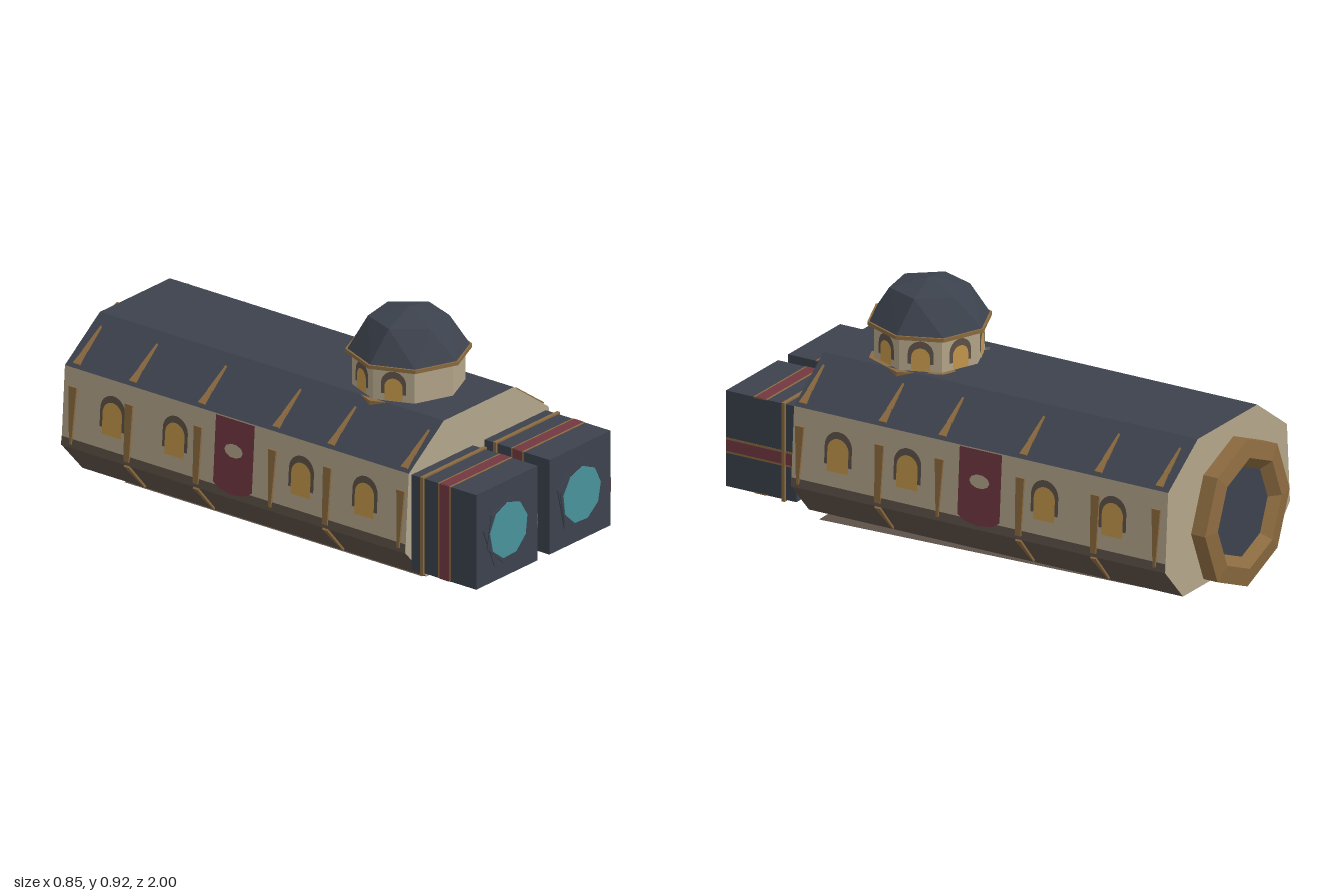
import * as THREE from 'three';
import { ConvexGeometry } from 'three/addons/geometries/ConvexGeometry.js';

const mat = (name, color) => {
  const m = new THREE.MeshStandardMaterial({ color });
  m.name = name;
  return m;
};

export function createModel() {
  const slate = mat('slate', 0x3c424d);
  const stone = mat('stone', 0xb3a58a);
  const bronze = mat('bronze', 0x8c6b40);
  const amber = mat('amber', 0xc4974a);
  const crimson = mat('crimson', 0x733842);
  const brown = mat('brown', 0x5e5248);
  const teal = mat('teal', 0x4a939b);
  const keelBrown = mat('keelBrown', 0x5e5248);
  keelBrown.side = THREE.DoubleSide;

  const model = new THREE.Group();
  model.name = 'hallShip';

  const add = (parent, name, geo, material, x = 0, y = 0, z = 0) => {
    const mesh = new THREE.Mesh(geo, material);
    mesh.name = name;
    mesh.position.set(x, y, z);
    parent.add(mesh);
    return mesh;
  };
  const flat = (geo) => {
    const g = geo.index ? geo.toNonIndexed() : geo;
    g.computeVertexNormals();
    return g;
  };
  const polygon = (pts) => new THREE.ShapeGeometry(new THREE.Shape(pts.map(([x, y]) => new THREE.Vector2(x, y))));
  const arch = (hw, y0, y1) => {
    const s = new THREE.Shape();
    s.moveTo(-hw, y0);
    s.lineTo(hw, y0);
    s.lineTo(hw, y1 - hw);
    s.absarc(0, y1 - hw, hw, 0, Math.PI, false);
    s.lineTo(-hw, y0);
    return new THREE.ShapeGeometry(s, 8);
  };
  const archedWindow = (parent, x, hw, y0, y1) => {
    add(parent, 'windowSurround', arch(hw + 0.013, y0 + 0.025, y1 + 0.026), brown, x, 0, 0.002);
    add(parent, 'windowPane', arch(hw, y0, y1), amber, x, 0, 0.004);
  };
  // Tapered rib standing slightly proud of its panel
  const rib = (parent, name, x, y0, w0, y1, w1) => {
    const s = new THREE.Shape();
    s.moveTo(-w0 / 2, y0);
    s.lineTo(w0 / 2, y0);
    s.lineTo(w1 / 2, y1);
    s.lineTo(-w1 / 2, y1);
    add(parent, name, new THREE.ExtrudeGeometry(s, { depth: 0.008, bevelEnabled: false }), bronze, x);
  };

  // Hull section: keel edge, chine, eaves, roof edge
  const zBack = -0.905, zFront = 0.69;
  const length = zFront - zBack, mid = (zFront + zBack) / 2;
  const section = [[0.3, 0.045], [0.42, 0.175], [0.4, 0.48], [0.2, 0.622]];
  const outline = [...section, ...section.map(([x, y]) => [-x, y]).reverse()];
  add(model, 'frontWall', polygon(outline), stone, 0, 0, zFront);
  add(model, 'backWall', polygon(outline), stone, 0, 0, zBack).rotation.y = Math.PI;
  add(model, 'roofTop', new THREE.PlaneGeometry(0.4, length), slate, 0, 0.622, mid).rotation.x = -Math.PI / 2;
  add(model, 'hullBottom', new THREE.PlaneGeometry(0.6, length), brown, 0, 0.045, mid).rotation.x = Math.PI / 2;

  // Sloped side panel with its own frame: y runs up the slope, z points outward
  const panel = (name, s, a, b, material) => {
    const g = new THREE.Group();
    g.name = name;
    g.position.set(s * a[0], a[1], 0);
    g.rotation.order = 'YXZ';
    g.rotation.set(-Math.atan2(a[0] - b[0], b[1] - a[1]), s * Math.PI / 2, 0);
    const h = Math.hypot(a[0] - b[0], b[1] - a[1]);
    add(g, name + 'Surface', new THREE.PlaneGeometry(length, h), material, -s * mid, h / 2);
    model.add(g);
    return g;
  };

  const ribs = [[0.66, 0], [0.32, 1], [0.065, 0], [-0.28, 1], [-0.6, 1], [-0.86, 0]];
  for (const s of [1, -1]) {
    const skirt = panel('skirt', s, section[0], section[1], brown);
    const wall = panel('sideWall', s, section[1], section[2], stone);
    const roof = panel('roofSlope', s, section[2], section[3], slate);
    add(wall, 'wallBase', new THREE.PlaneGeometry(length, 0.035), brown, -s * mid, 0.0175, 0.002);

    // Wall pilasters, lower spikes and roof ribs
    for (const [z, long] of ribs) {
      const x = -s * z;
      rib(wall, 'pilaster', x, 0.015, long ? 0.024 : 0.01, 0.235, 0.036);
      if (long) rib(skirt, 'pilasterSpike', x, 0.02, 0.005, 0.177, 0.024);
      rib(roof, 'roofRibFoot', x, 0.015, 0.03, 0.075, 0.016);
      rib(roof, 'roofRib', x, 0.075, 0.02, 0.19, 0.004);
    }
    for (const z of [0.495, 0.2, -0.385, -0.675]) archedWindow(wall, -s * z, 0.045, 0.092, 0.22);

    // Hanging banner with a plain pale oval
    const cloth = polygon([[-0.09, 0.303], [-0.09, 0.045], [-0.06, 0.025], [0, 0.015], [0.06, 0.025], [0.09, 0.045], [0.09, 0.303]]);
    add(wall, 'banner', cloth, crimson, s * 0.11, 0, 0.005);
    add(wall, 'bannerOval', new THREE.CircleGeometry(0.043, 10), stone, s * 0.11, 0.185, 0.008).scale.y = 0.62;
  }

  // Loose plate below the keel
  const keel = new THREE.PlaneGeometry(1, 1);
  [[-0.275, 0.027, -0.73], [0.295, 0.042, -0.73], [-0.275, 0.027, 0.65], [0.295, 0.013, 0.65]]
    .forEach((p, i) => keel.attributes.position.setXYZ(i, ...p));
  add(model, 'keelPlate', flat(keel), keelBrown);

  // Octagonal roof turret
  const turret = new THREE.Group();
  turret.name = 'turret';
  turret.position.z = 0.365;
  model.add(turret);
  const octagon = (r, h) => flat(new THREE.CylinderGeometry(r, r, h, 8));
  add(turret, 'turretBase', octagon(0.225, 0.022), bronze, 0, 0.611);
  add(turret, 'turretDrum', octagon(0.205, 0.15), stone, 0, 0.675);
  add(turret, 'turretCornice', octagon(0.23, 0.014), bronze, 0, 0.755);
  for (let k = 1; k < 7; k++) {
    const face = new THREE.Group();
    face.name = 'turretWindow';
    const a = Math.PI / 8 + k * Math.PI / 4;
    face.position.set(Math.sin(a) * 0.1894, 0, Math.cos(a) * 0.1894);
    face.rotation.y = a;
    turret.add(face);
    archedWindow(face, 0, 0.034, 0.625, 0.712);
  }
  const ring = (n, r, y, phase) => Array.from({ length: n }, (_, i) => {
    const a = phase + i * 2 * Math.PI / n;
    return new THREE.Vector3(r * Math.sin(a), y, r * Math.cos(a));
  });
  const domePoints = [...ring(8, 0.222, 0.762, 0), ...ring(6, 0.147, 0.882, -0.35), new THREE.Vector3(0, 0.917, 0)];
  add(turret, 'dome', new ConvexGeometry(domePoints), slate);

  // Twin front pods
  for (const s of [1, -1]) {
    const pod = new THREE.Group();
    pod.name = 'frontPod';
    pod.position.set(s * 0.209, 0.286, 0);
    model.add(pod);
    const w = 0.35, h = 0.37, z0 = 0.69, z1 = 0.99, zc = (z0 + z1) / 2, d = z1 - z0;
    add(pod, 'podBody', new THREE.BoxGeometry(w, h, d), slate, 0, 0, zc);
    add(pod, 'podCollar', new THREE.BoxGeometry(w + 0.016, h + 0.012, 0.014), bronze, 0, 0, 0.742);
    // Cross bands on top, bottom and -x side; a lengthwise band on the +x side
    for (const [name, t, m, o] of [['bandEdge', 0.06, bronze, 0.001], ['band', 0.044, crimson, 0.002]]) {
      for (const v of [1, -1]) add(pod, name, new THREE.BoxGeometry(w, 0.004, t), m, 0, v * (h / 2 - 0.002 + o), 0.843);
      add(pod, name, new THREE.BoxGeometry(0.004, h, t), m, -(w / 2 - 0.002 + o), 0, 0.843);
      add(pod, name, new THREE.BoxGeometry(0.004, t, d), m, w / 2 - 0.002 + o, -0.026, zc);
    }
    const disc = (name, r, n, depth, m, z, turn) => {
      const g = flat(new THREE.CylinderGeometry(r, r, depth, n).rotateX(Math.PI / 2));
      add(pod, name, g, m, 0, -0.003, z).rotation.z = turn;
    };
    disc('lensFrameOuter', 0.142, 5, 0.004, slate, 0.992, s * 0.55);
    disc('lensFrameInner', 0.128, 6, 0.004, slate, 0.995, s * 0.2);
    disc('lens', 0.108, 9, 0.004, teal, 0.998, s * 0.3);
  }

  // Octagonal ring and dark disc at the stern
  const profile = [[0.2, 0.925], [0.175, 0.965], [0.215, 1], [0.285, 0.99], [0.285, 0.93], [0.2, 0.925]]
    .map(([r, y]) => new THREE.Vector2(r, y));
  const sternRing = flat(new THREE.LatheGeometry(profile, 8).rotateX(-Math.PI / 2));
  const stern = new THREE.Group();
  stern.name = 'stern';
  stern.position.y = 0.287;
  model.add(stern);
  // The profile runs clockwise, so reverse the faces if they point inward
  const p = sternRing.attributes.position;
  let volume = 0;
  const [a, b, c] = [0, 1, 2].map(() => new THREE.Vector3());
  for (let i = 0; i < p.count; i += 3) {
    volume += a.fromBufferAttribute(p, i).dot(b.fromBufferAttribute(p, i + 1).cross(c.fromBufferAttribute(p, i + 2)));
  }
  if (volume < 0) {
    sternRing.setIndex(Array.from({ length: p.count }, (_, i) => i - (i % 3) + 2 - (i % 3)));
  }
  add(stern, 'sternRing', volume < 0 ? flat(sternRing) : sternRing, bronze);
  add(stern, 'sternDisc', flat(new THREE.CylinderGeometry(0.19, 0.19, 0.02, 8).rotateX(Math.PI / 2)), slate, 0, 0, -0.955);

  return model;
}
